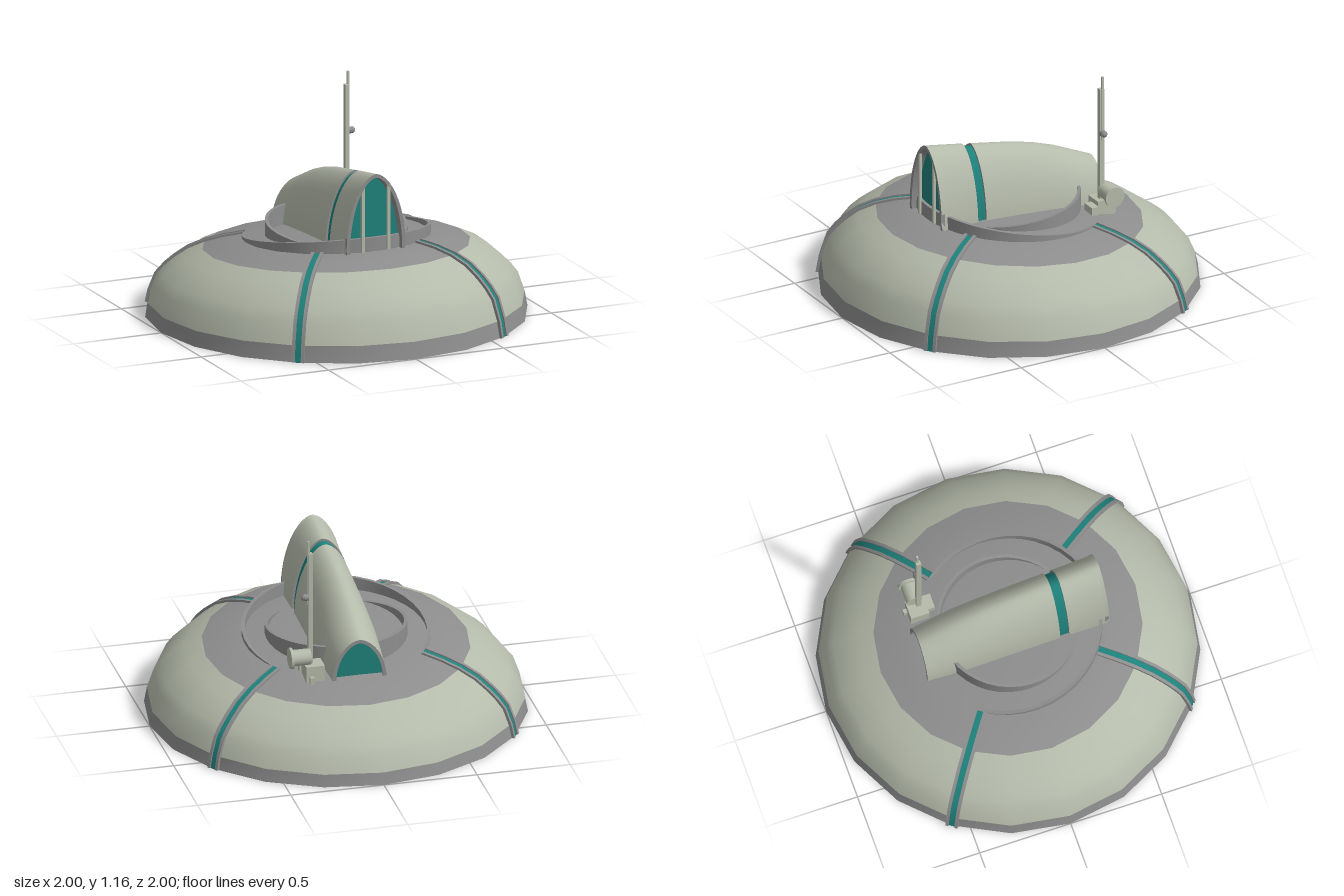
import * as THREE from 'three';
import { toCreasedNormals } from 'three/addons/utils/BufferGeometryUtils.js';

const material = (name, color) => {
  const m = new THREE.MeshStandardMaterial({ color, side: THREE.DoubleSide });
  m.name = name;
  return m;
};

// Skin a surface through rows of points; loop joins each row to itself.
function loft(rows, loop = false, crease = 0.6) {
  const n = rows[0].length, index = [];
  for (let i = 0; i < rows.length - 1; i++) {
    for (let j = 0; j < (loop ? n : n - 1); j++) {
      const a = i * n + j, b = i * n + ((j + 1) % n);
      index.push(a, b, b + n, a, b + n, a + n);
    }
  }
  const g = new THREE.BufferGeometry();
  g.setAttribute('position', new THREE.Float32BufferAttribute(rows.flat(2), 3));
  g.setIndex(index);
  return toCreasedNormals(g, crease);
}

// Dome profile as [radius, height]; heights grow towards the front.
const PROFILE = [[1, 0], [0.985, 0.077], [0.95, 0.175], [0.91, 0.225], [0.86, 0.272], [0.79, 0.325],
  [0.7, 0.367], [0.6, 0.397], [0.49, 0.418], [0.3, 0.432], [0, 0.438]];
const lean = (y, z) => y * (1 + 0.17 * z);
function domeHeight(r) {
  for (let i = 1; i < PROFILE.length; i++) {
    const [r0, y0] = PROFILE[i - 1], [r1, y1] = PROFILE[i];
    if (r >= r1) return y0 + (y1 - y0) * (r - r0) / (r1 - r0);
  }
  return PROFILE[PROFILE.length - 1][1];
}

// Linear lookup in [z, value] stations sorted from front to back.
function along(stations, z) {
  for (let i = 1; i < stations.length; i++) {
    const [z0, v0] = stations[i - 1], [z1, v1] = stations[i];
    if (z >= z1) return v0 + (v1 - v0) * (z - z0) / (z1 - z0);
  }
  return stations[stations.length - 1][1];
}
const CREST = [[0.5, 0.87], [0.28, 0.832], [0.23, 0.822], [0, 0.78], [-0.14, 0.745], [-0.27, 0.7], [-0.49, 0.6]];
const HALF_WIDTH = [[0.5, 0.168], [0, 0.166], [-0.3, 0.163], [-0.49, 0.145]];

// Canopy arch at z, shrunk by inset.
function arch(z, inset = 0) {
  const base = z > 0.48 ? 0.47 : 0.4 + 0.06 * z;
  const w = along(HALF_WIDTH, z) - inset, h = along(CREST, z) - inset - base;
  return Array.from({ length: 25 }, (_, i) => {
    const t = Math.PI * i / 24, c = Math.cos(t);
    return [Math.sign(c) * w * Math.abs(c) ** 1.15, base + h * Math.sin(t), z];
  });
}

export function createModel() {
  const model = new THREE.Group();
  model.name = 'domeCraft';
  const hull = material('paleHull', 0xb5bbab);
  const trim = material('greyTrim', 0x8f8e8f);
  const glass = material('tealGlass', 0x1f817b);

  const add = (name, geometry, mat, parent = model) => {
    const mesh = new THREE.Mesh(geometry, mat);
    mesh.name = name;
    parent.add(mesh);
    return mesh;
  };
  const box = (name, mat, x0, x1, y0, y1, z0, z1) => {
    const m = add(name, new THREE.BoxGeometry(x1 - x0, y1 - y0, z1 - z0), mat);
    m.position.set((x0 + x1) / 2, (y0 + y1) / 2, (z0 + z1) / 2);
    return m;
  };

  // Hollow dome: rim band, shell and cap
  const domePart = (name, from, to, mat) => {
    const rows = PROFILE.slice(from, to + 1).map(([r, y]) => Array.from({ length: 20 }, (_, i) => {
      const a = i * Math.PI / 10, z = r * Math.cos(a);
      return [r * Math.sin(a), lean(y, z), z];
    }));
    add(name, loft(rows, true, 1), mat);
  };
  domePart('rimBand', 0, 1, trim);
  domePart('domeShell', 1, 6, hull);
  domePart('domeCap', 6, PROFILE.length - 1, trim);

  // Four ribs: a glass strip between two rails, following the dome
  const strip = (angle, t0, t1, lift) => {
    const c = Math.cos(angle), s = Math.sin(angle);
    const path = PROFILE.slice(0, 9);
    const rows = path.map(([r, y], i) => {
      const p = path[Math.max(i - 1, 0)], q = path[Math.min(i + 1, path.length - 1)];
      const len = Math.hypot(q[0] - p[0], q[1] - p[1]);
      const nr = (q[1] - p[1]) / len, ny = (p[0] - q[0]) / len;
      const corner = (t, d) => {
        const rr = r + nr * d, z = rr * s + t * c;
        return [rr * c - t * s, Math.max(0, lean(y + ny * d, z)), z];
      };
      return [corner(t0, -0.012), corner(t1, -0.012), corner(t1, lift), corner(t0, lift)];
    });
    return loft(rows, true);
  };
  for (const degrees of [54, 126, -36, -144]) {
    const rib = new THREE.Group();
    rib.name = 'rib';
    model.add(rib);
    const a = THREE.MathUtils.degToRad(degrees);
    add('ribGlass', strip(a, -0.016, 0.016, 0.003), glass, rib);
    add('ribRail', strip(a, -0.033, -0.016, 0.01), trim, rib);
    add('ribRail', strip(a, 0.016, 0.033, 0.01), trim, rib);
  }

  // Two collars: the outer rises to the front, the inner to the back
  const collar = (name, radius, top) => {
    const rows = Array.from({ length: 41 }, (_, i) => {
      const a = i * Math.PI / 20;
      const point = (r, y) => [r * Math.sin(a), y, r * Math.cos(a)];
      const z = radius * Math.cos(a), foot = lean(domeHeight(radius), z) - 0.015;
      const crest = Math.max(top(z), foot + 0.004);
      return [point(radius, foot), point(radius, crest), point(radius - 0.018, crest), point(radius - 0.018, foot)];
    });
    add(name, loft(rows, true), trim);
  };
  collar('outerCollar', 0.493, (z) => 0.443 + 0.16 * z + 0.02 * z * z);
  collar('innerCollar', 0.372, (z) => 0.485 - 0.1 * z - 0.08 * z * z);

  // Canopy in two sections with a recessed glass band between them
  add('canopyFront', loft([0.5, 0.475, 0.28].map((z) => arch(z))), hull);
  add('canopyRear', loft([0.23, 0.1, 0, -0.14, -0.27, -0.38, -0.49].map((z) => arch(z))), hull);
  add('canopyBand', loft([arch(0.29, 0.012), arch(0.22, 0.012)]), glass);
  for (const [z, inset] of [[0.5, 0.02], [0.28, 0.012], [0.23, 0.012], [-0.49, 0.02]]) {
    add('canopyEdge', loft([arch(z), arch(z, inset)]), trim);
  }
  add('frontLining', loft([arch(0.5, 0.02), arch(0.45, 0.02)]), trim);
  add('rearLining', loft([arch(-0.49, 0.02), arch(-0.45, 0.02)]), trim);
  for (const [name, z] of [['frontWindow', 0.455], ['rearWindow', -0.46]]) {
    const edge = arch(z, 0.015);
    add(name, loft([edge, edge.map(([, y]) => [0, y, z])]), glass);
  }
  for (const side of [-1, 1]) {
    box('windowBar', hull, side * 0.073 - 0.008, side * 0.073 + 0.008, 0.455, 0.805, 0.484, 0.5);
    box('frameLeg', trim, side * 0.158 - 0.009, side * 0.158 + 0.009, 0.45, 0.54, 0.48, 0.498);
  }

  // Equipment box with drum, and the mast
  box('equipmentBase', hull, 0.18, 0.28, 0.36, 0.465, -0.47, -0.37);
  box('equipmentStep', hull, 0.21, 0.29, 0.38, 0.44, -0.37, -0.33);
  box('rearPost', hull, 0.24, 0.262, 0.36, 0.41, -0.49, -0.47);
  const drum = (name, mat, r, x0, x1, y, z) => {
    const m = add(name, new THREE.CylinderGeometry(r, r, x1 - x0, 18), mat);
    m.rotation.z = Math.PI / 2;
    m.position.set((x0 + x1) / 2, y, z);
  };
  drum('drumBody', hull, 0.043, 0.25, 0.345, 0.508, -0.428);
  drum('drumCap', hull, 0.056, 0.345, 0.36, 0.508, -0.428);
  box('mast', hull, 0.233, 0.257, 0.4, 1.09, -0.422, -0.396);
  box('mastRod', hull, 0.248, 0.26, 0.8, 1.16, -0.418, -0.406);
  drum('mastSensor', trim, 0.018, 0.255, 0.28, 0.84, -0.41);
  const tip = add('sensorTip', new THREE.SphereGeometry(0.016, 10, 8), trim);
  tip.position.set(0.278, 0.84, -0.41);

  return model;
}
